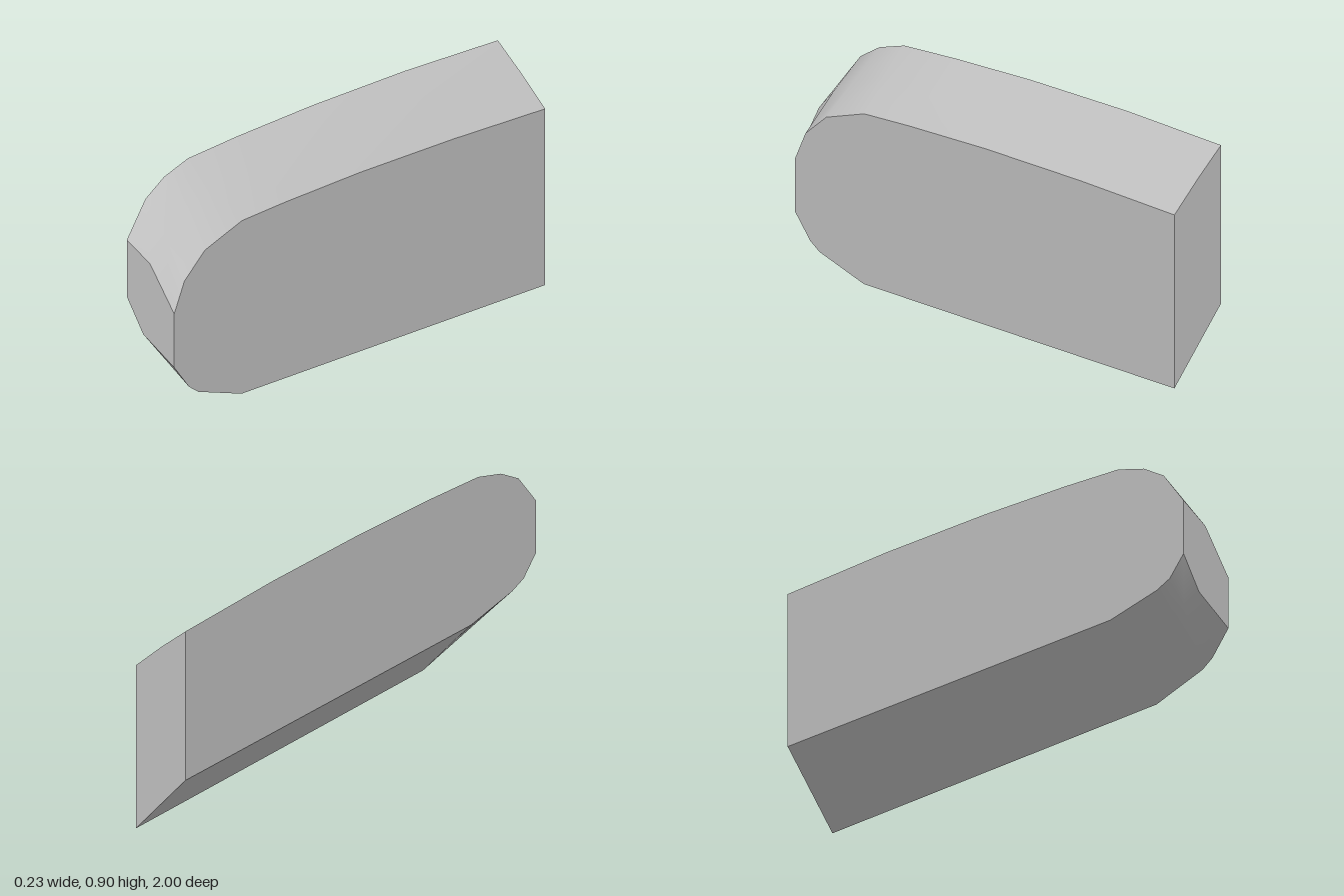
import * as THREE from 'three';

// Three cross-sections from the -x side to the +x side.
// Each runs [z, y] from the back top corner, over the nose, to the back bottom corner.
const sections = [
  { x: () => -0.113, pts: [
    [-1, 0.9], [-0.5, 0.9], [0, 0.885], [0.4, 0.862], [0.67, 0.84], [0.8, 0.8], [0.9, 0.74], [1, 0.61],
    [1, 0.4], [0.93, 0.325], [0.865, 0.3], [0.63, 0.26], [-1, 0.3]] },
  { x: i => (i < 8 ? -0.003 : -0.035), pts: [
    [-1, 0.802], [-0.5, 0.802], [0, 0.79], [0.4, 0.768], [0.65, 0.748], [0.815, 0.697], [0.92, 0.63], [1, 0.545],
    [1, 0.275], [0.925, 0.24], [0.867, 0.215], [0.633, 0.172], [-1, 0.208]] },
  { x: () => 0.113, pts: [
    [-1, 0.69], [-0.5, 0.69], [0, 0.68], [0.4, 0.661], [0.635, 0.645], [0.835, 0.58], [0.945, 0.49], [1, 0.38],
    [1, 0.18], [0.92, 0.09], [0.87, 0.06], [0.637, 0], [-1, 0.033]] },
];

const point = (s, i) => {
  const [z, y] = sections[s].pts[i];
  return [sections[s].x(i), y, z];
};

function buildGeometry(positions, index) {
  const geo = new THREE.BufferGeometry();
  geo.setAttribute('position', new THREE.Float32BufferAttribute(positions, 3));
  geo.setIndex(index);
  geo.computeVertexNormals();
  return geo;
}

// Smooth skin across the sections, along a run of outline points
function strip(run) {
  const positions = [], index = [], n = run.length;
  sections.forEach((_, s) => run.forEach(i => positions.push(...point(s, i))));
  for (let s = 0; s < sections.length - 1; s++) {
    for (let k = 0; k < n - 1; k++) {
      const a = s * n + k, b = a + 1, c = b + n, d = a + n;
      index.push(a, b, c, a, c, d);
    }
  }
  return buildGeometry(positions, index);
}

// Flat side filling one section's outline
function cap(s, flip) {
  const positions = [], index = [], n = sections[s].pts.length;
  for (let i = 0; i < n; i++) positions.push(...point(s, i));
  for (let i = 0; i < n - 2; i++) {
    // fan around the back bottom corner
    index.push(n - 1, ...(flip ? [i + 1, i] : [i, i + 1]));
  }
  return buildGeometry(positions, index);
}

export function createModel() {
  const group = new THREE.Group();
  group.name = 'slantedBlock';
  const grey = new THREE.MeshStandardMaterial({ color: 0xc0c0c0 });
  grey.name = 'grey';

  const add = (name, geo) => {
    const mesh = new THREE.Mesh(geo, grey);
    mesh.name = name;
    group.add(mesh);
  };

  add('topSkin', strip([0, 1, 2, 3, 4, 5, 6, 7]));
  add('noseFace', strip([7, 8]));
  add('bottomSkin', strip([8, 9, 10, 11, 12]));
  add('backFace', strip([12, 0]));
  add('rightSide', cap(0, true));
  add('leftSide', cap(2, false));
  return group;
}
